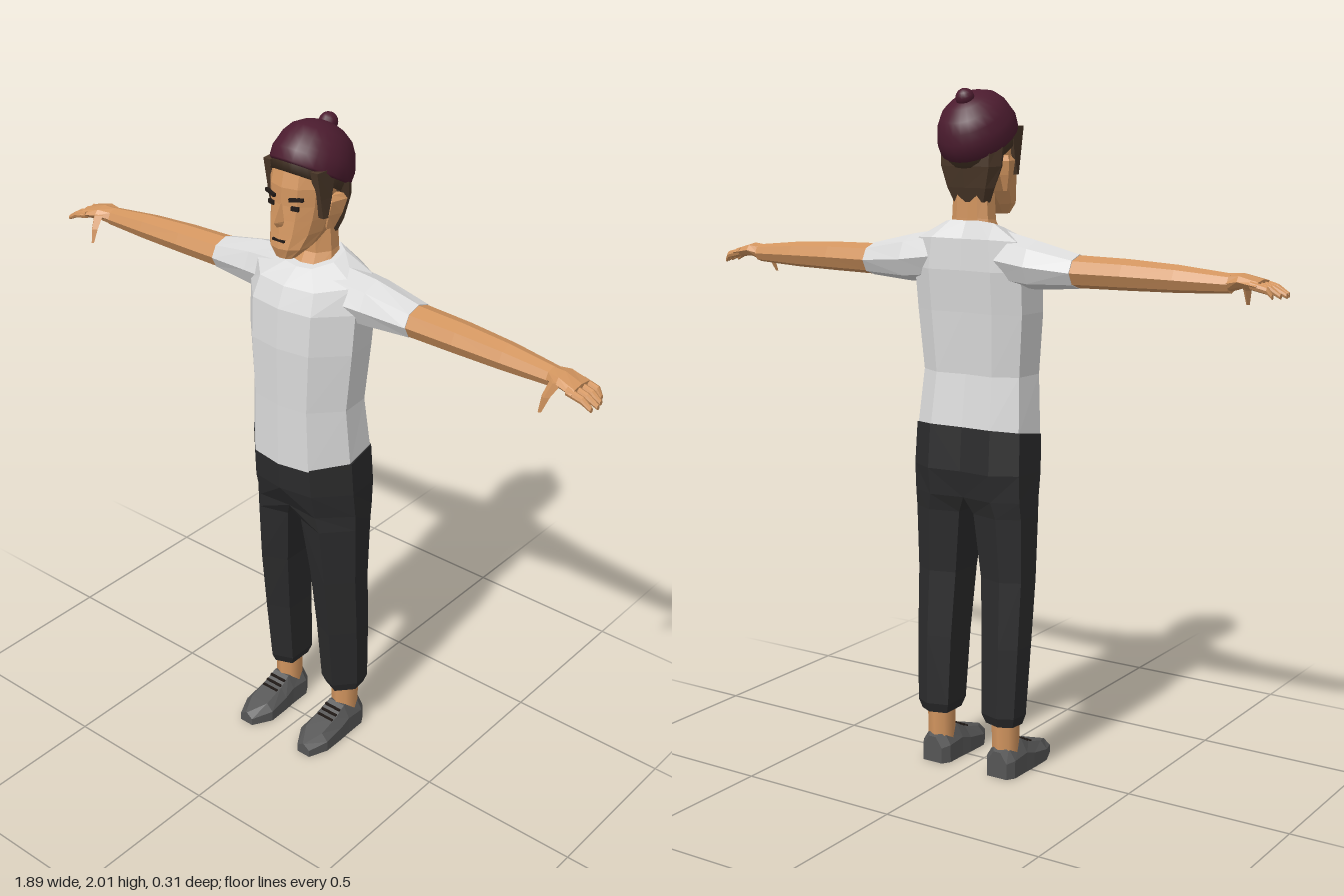
import * as THREE from 'three';

const mat = (name, color) => {
  const m = new THREE.MeshStandardMaterial({ color });
  m.name = name;
  return m;
};

// Closed faceted surface through rings of [x, y, z] points, always facing outwards
function loft(rings) {
  const n = rings[0].length, tris = [];
  for (let i = 0; i + 1 < rings.length; i++) {
    for (let j = 0; j < n; j++) {
      const k = (j + 1) % n, [a, b] = [rings[i], rings[i + 1]];
      tris.push([a[j], a[k], b[k]], [a[j], b[k], b[j]]);
    }
  }
  const cap = (r, flip) => {
    const c = [0, 1, 2].map((d) => r.reduce((s, p) => s + p[d], 0) / n);
    r.forEach((p, j) => {
      const q = r[(j + 1) % n];
      tris.push(flip ? [c, q, p] : [c, p, q]);
    });
  };
  cap(rings[0], true);
  cap(rings[rings.length - 1], false);
  const v = (p) => new THREE.Vector3(...p);
  const volume = tris.reduce((s, [a, b, c]) => s + v(a).dot(v(b).cross(v(c))), 0);
  if (volume < 0) tris.forEach((t) => t.reverse());
  const g = new THREE.BufferGeometry();
  g.setAttribute('position', new THREE.Float32BufferAttribute(tris.flat(2), 3));
  g.computeVertexNormals();
  return g;
}

// Half outline of the body seen from above; k = 1 rounds the inner side for a leg
function halfRing([yF, yB, xi, xo, zf, zb, k = 0]) {
  return [[0, 0.18 * k], [0.55, 0.06 * (1 - k)], [1, 0.42], [0.95, 0.83], [0.55, 1], [0, 0.96 - 0.1 * k]]
    .map(([fx, f]) => [xi + fx * (xo - xi), yF + (yB - yF) * f, zf + (zb - zf) * f]);
}
const fullRing = (spec) => {
  const h = halfRing(spec);
  return [...h, ...h.slice(1, -1).reverse().map(([x, y, z]) => [-x, y, z])];
};
// Octagon across a limb that runs along x
const limbRing = (s) => ([x, top, bottom, back, front]) => Array.from({ length: 8 }, (_, i) => {
  const a = (i * Math.PI) / 4;
  return [s * x, (top + bottom) / 2 + Math.cos(a) * (top - bottom) / 2,
    (back + front) / 2 + Math.sin(a) * (front - back) / 2];
});

export function createModel() {
  const model = new THREE.Group();
  const skin = mat('skin', 0xd2955f), shirt = mat('shirt', 0xdadada), cloth = mat('trousers', 0x2b2b2c);
  const wool = mat('wool', 0x4c1c2f), brown = mat('hair', 0x4a3728), shoeGrey = mat('shoe', 0x565656);
  const dark = mat('dark', 0x211a17);
  const add = (name, geo, material, parent = model) => {
    const m = new THREE.Mesh(geo, material);
    m.name = name;
    parent.add(m);
    return m;
  };
  const box = (name, size, pos, material, ry = 0, rz = 0) => {
    const m = add(name, new THREE.BoxGeometry(...size), material);
    m.position.set(...pos);
    m.rotation.set(0, ry, rz);
    return m;
  };

  // Shirt body, hem to collar
  add('shirtBody', loft([
    [1.005, 1.045, 0, 0.183, 0.12, -0.13],
    [1.2, 1.2, 0, 0.172, 0.12, -0.108],
    [1.38, 1.38, 0, 0.187, 0.122, -0.12],
    [1.5, 1.5, 0, 0.19, 0.115, -0.132],
    [1.56, 1.59, 0, 0.175, 0.09, -0.128],
    [1.6, 1.64, 0, 0.085, 0.035, -0.1],
  ].map(fullRing)), shirt);

  // Neck
  add('neck', loft([
    [1.57, 1.6, 0, 0.078, 0.035, -0.092],
    [1.635, 1.645, 0, 0.064, 0.0, -0.09],
    [1.74, 1.74, 0, 0.058, 0.0, -0.09],
  ].map(fullRing)), skin);

  // Head, chin to crown: [y, half width, front z, back z]
  const headRing = ([y, w, zf, zb]) => {
    const h = [[0, 0], [0.5, 0.06], [0.88, 0.24], [1, 0.52], [0.8, 0.88], [0, 1]]
      .map(([fx, f]) => [fx * w, y, zf + (zb - zf) * f]);
    return [...h, ...h.slice(1, -1).reverse().map(([x, yy, z]) => [-x, yy, z])];
  };
  add('head', loft([
    [1.65, 0.032, 0.104, 0.05],
    [1.68, 0.06, 0.114, -0.01],
    [1.72, 0.075, 0.108, -0.07],
    [1.76, 0.083, 0.102, -0.09],
    [1.8, 0.088, 0.097, -0.1],
    [1.85, 0.092, 0.096, -0.105],
    [1.92, 0.085, 0.078, -0.1],
  ].map(headRing)), skin);

  // Nose, mouth, eyes and brows
  add('nose', loft([[1.805, 0.009, 0.1], [1.757, 0.018, 0.127], [1.742, 0.016, 0.116]]
    .map(([y, w, z]) => [[-w, y, 0.085], [0, y, z], [w, y, 0.085]])), skin);
  box('mouth', [0.04, 0.006, 0.008], [0, 1.703, 0.108], dark);
  for (const s of [1, -1]) {
    box('eye', [0.022, 0.012, 0.008], [s * 0.041, 1.797, 0.088], dark, s * 0.25);
    box('brow', [0.042, 0.009, 0.009], [s * 0.045, 1.823, 0.088], dark, s * 0.3, s * 0.12);
  }

  // Hair behind the ears and down to the nape
  add('backHair', loft([
    [1.69, 0.062, -0.04, -0.088],
    [1.73, 0.08, -0.04, -0.1],
    [1.79, 0.1, -0.02, -0.112],
    [1.88, 0.103, 0.0, -0.115],
  ].map(headRing)), brown);

  for (const s of [1, -1]) {
    // Sideburn and ear
    add('sideburn', loft([[1.765, 0.02, 0.035], [1.82, 0.005, 0.045], [1.9, -0.01, 0.06]]
      .map(([y, b, f]) => [[s * 0.07, y, b], [s * 0.099, y, b], [s * 0.094, y, f], [s * 0.07, y, f]])), brown);
    add('ear', loft([[1.72, 0.088, -0.018, 0.0], [1.765, 0.104, -0.035, 0.008], [1.805, 0.112, -0.045, 0.006],
      [1.82, 0.104, -0.038, -0.005]]
      .map(([y, x, b, f]) => [[s * 0.075, y, b], [s * x, y, b], [s * (x - 0.012), y, f], [s * 0.075, y, f]])), skin);
  }

  // Knitted hat tilted backwards, with the hairline showing below it
  const hat = new THREE.Group();
  hat.name = 'hat';
  hat.position.set(0, 1.865, -0.025);
  hat.rotation.x = -0.515;
  model.add(hat);
  const lathe = (pts) => new THREE.LatheGeometry(pts.map((p) => new THREE.Vector2(...p)), 24).scale(0.11, 1, 0.13);
  add('hatDome', lathe([[0, 0.002], [0.93, -0.006], [0.99, 0], [1, 0.03], [0.95, 0.048], [0.88, 0.075], [0.72, 0.103],
    [0.45, 0.124], [0.2, 0.133], [0, 0.135]]), wool, hat);
  add('hairline', lathe([[0, -0.03], [0.88, -0.03], [0.93, 0.005]]), brown, hat);
  add('pompom', new THREE.SphereGeometry(0.027, 14, 10), wool, hat).position.set(0, 0.135, -0.008);

  for (const s of [1, -1]) {
    const limb = (rows) => loft(rows.map(limbRing(s)));
    // Sleeve and arm
    add('sleeve', limb([[0.1, 1.61, 1.46, -0.125, 0.045], [0.21, 1.59, 1.452, -0.132, 0.02],
      [0.35, 1.558, 1.463, -0.119, 0.002]]), shirt);
    add('arm', limb([[0.34, 1.556, 1.465, -0.117, 0], [0.5, 1.553, 1.467, -0.108, 0],
      [0.65, 1.545, 1.47, -0.095, -0.003], [0.8, 1.53, 1.477, -0.075, -0.01]]), skin);

    // Hand: palm, four bent fingers and a thumb pointing down
    add('palm', limb([[0.79, 1.53, 1.479, -0.073, -0.01], [0.83, 1.533, 1.492, -0.08, 0.008],
      [0.885, 1.518, 1.488, -0.08, 0.02]]), skin);
    for (let i = 0; i < 4; i++) {
      const z = -0.066 + i * 0.024, end = [0.925, 0.938, 0.945, 0.94][i];
      add('finger', limb([[0.865, 1.517, 1.493, z - 0.012, z + 0.012], [0.912, 1.505, 1.483, z - 0.01, z + 0.011],
        [end, 1.485, 1.47, z - 0.004, z + 0.009]]), skin);
    }
    add('thumb', loft([[1.515, 0.825, -0.005, 0.018], [1.48, 0.815, 0.024, 0.012], [1.44, 0.81, 0.041, 0.005]]
      .map(([y, x, z, r]) => [[s * (x - r), y, z], [s * x, y, z + r], [s * (x + r), y, z], [s * x, y, z - r]])), skin);

    // Trouser half, waist to cuff
    add('trouserLeg', loft([
      [1.01, 1.05, 0, 0.187, 0.118, -0.13, 0],
      [0.92, 0.92, 0, 0.19, 0.113, -0.14, 0],
      [0.84, 0.84, 0, 0.19, 0.087, -0.13, 0.4],
      [0.79, 0.79, 0.025, 0.19, 0.077, -0.12, 0.8],
      [0.6, 0.6, 0.045, 0.187, 0.058, -0.11, 1],
      [0.4, 0.4, 0.055, 0.183, 0.036, -0.12, 1],
      [0.19, 0.19, 0.06, 0.176, 0.014, -0.127, 1],
      [0.16, 0.16, 0.07, 0.166, 0.0, -0.115, 1],
    ].map((r) => halfRing(r).map(([x, y, z]) => [s * x, y, z]))), cloth);

    // Ankle
    const ankle = add('ankle', new THREE.CylinderGeometry(0.043, 0.041, 0.15, 8), skin);
    ankle.position.set(s * 0.115, 0.12, -0.06);

    // Shoe, heel to toe: [z, inner x, outer x, height]
    add('shoe', loft([[-0.11, 0.082, 0.15, 0.08], [-0.085, 0.066, 0.165, 0.09], [-0.02, 0.065, 0.166, 0.1],
      [0.02, 0.062, 0.168, 0.078], [0.09, 0.06, 0.168, 0.058], [0.15, 0.095, 0.143, 0.04]]
      .map(([z, a, b, h]) => [[a, 0], [b, 0], [b, h * 0.6], [b - 0.022, h], [a + 0.022, h], [a, h * 0.6]]
        .map(([x, y]) => [s * x, y, z]))), shoeGrey);
    for (let i = 0; i < 3; i++) {
      box('lace', [0.058, 0.006, 0.007], [s * 0.115, 0.092 - i * 0.009, 0.0 + i * 0.018], dark);
    }
  }
  return model;
}
